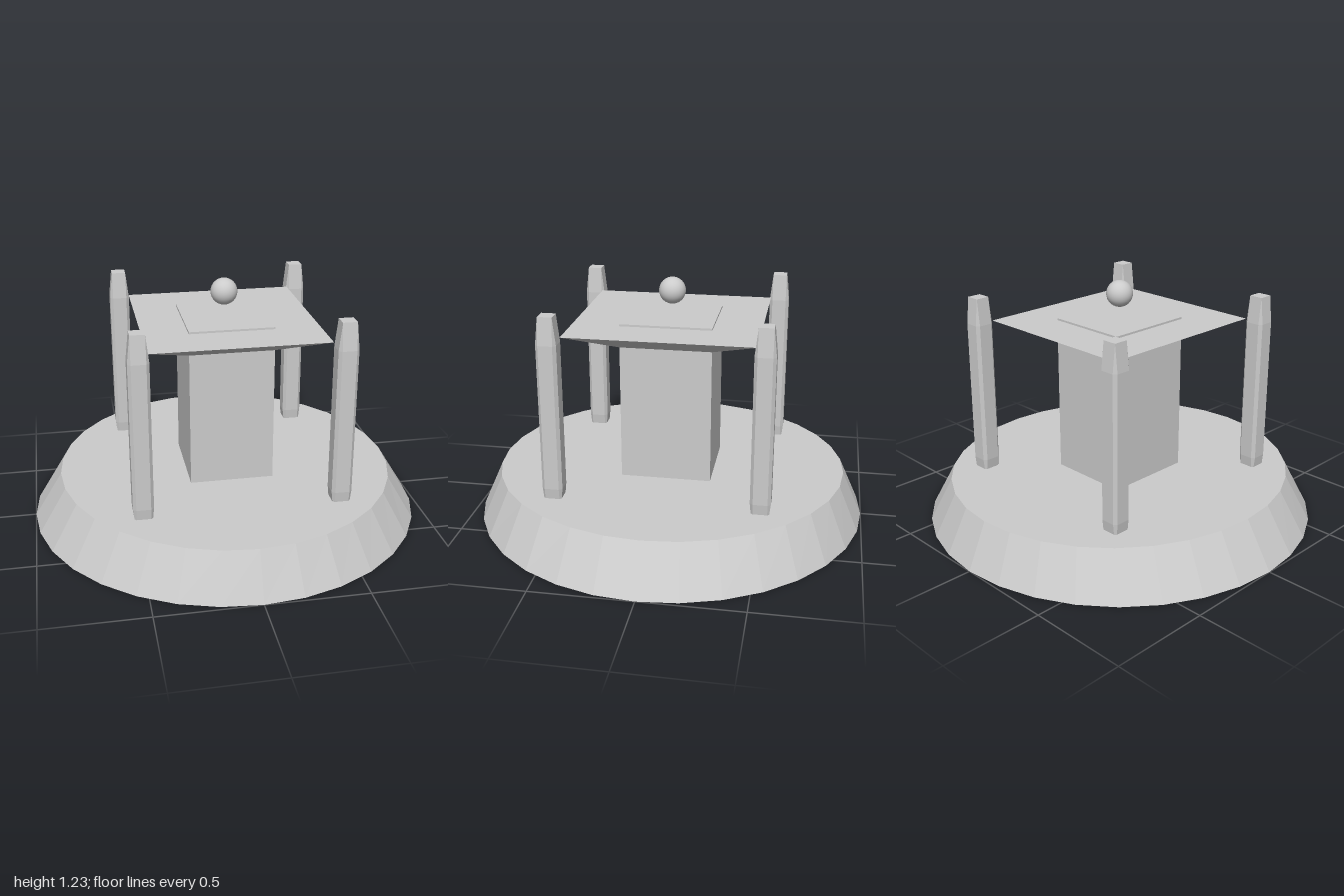
import * as THREE from 'three';
import { ConvexGeometry } from 'three/addons/geometries/ConvexGeometry.js';

const material = new THREE.MeshStandardMaterial({ color: 0xcccccc, flatShading: true });
const smooth = new THREE.MeshStandardMaterial({ color: 0xcccccc });

function addMesh(parent, name, geometry, x, y, z, mat = material) {
  const mesh = new THREE.Mesh(geometry, mat);
  mesh.name = name;
  mesh.position.set(x, y, z);
  parent.add(mesh);
  return mesh;
}

// Box or cylinder whose top vertices are scaled to taper or flare it
function scaleTop(geometry, sx, sz) {
  const p = geometry.attributes.position;
  for (let i = 0; i < p.count; i++) {
    if (p.getY(i) > 0) p.setXYZ(i, p.getX(i) * sx, p.getY(i), p.getZ(i) * sz);
  }
  geometry.computeVertexNormals();
  return geometry;
}

// Stretched box with every edge and corner chamfered
function chamferedPost(half, inner, halfHeight, innerHeight) {
  const points = [];
  for (const x of [-1, 1]) for (const y of [-1, 1]) for (const z of [-1, 1]) {
    points.push(
      new THREE.Vector3(x * half, y * innerHeight, z * inner),
      new THREE.Vector3(x * inner, y * halfHeight, z * inner),
      new THREE.Vector3(x * inner, y * innerHeight, z * half));
  }
  return new ConvexGeometry(points);
}

export function createModel() {
  const model = new THREE.Group();
  model.name = 'pedestal';

  // Round base with a slightly oval top
  const base = scaleTop(new THREE.CylinderGeometry(1, 1, 0.228, 32), 0.858, 0.898);
  addMesh(model, 'base', base, 0, 0.114, 0);

  // Central column, its top just above the table slab
  addMesh(model, 'column', new THREE.BoxGeometry(0.423, 0.815, 0.456), 0, 0.6275, -0.003);

  // Flared table slab
  const slab = scaleTop(new THREE.BoxGeometry(0.423, 0.108, 0.456), 2.06, 2.03);
  addMesh(model, 'tableSlab', slab, 0, 0.971, -0.003);

  // Four corner posts, sunk into the base
  const posts = new THREE.Group();
  posts.name = 'cornerPosts';
  const post = chamferedPost(0.05, 0.035, 0.5, 0.365);
  for (const x of [-0.484, 0.484]) for (const z of [-0.509, 0.503]) {
    addMesh(posts, 'cornerPost', post, x, 0.646, z);
  }
  model.add(posts);

  // Floating orb
  addMesh(model, 'orb', new THREE.SphereGeometry(0.067, 32, 16), 0, 1.16, -0.003, smooth);
  return model;
}
